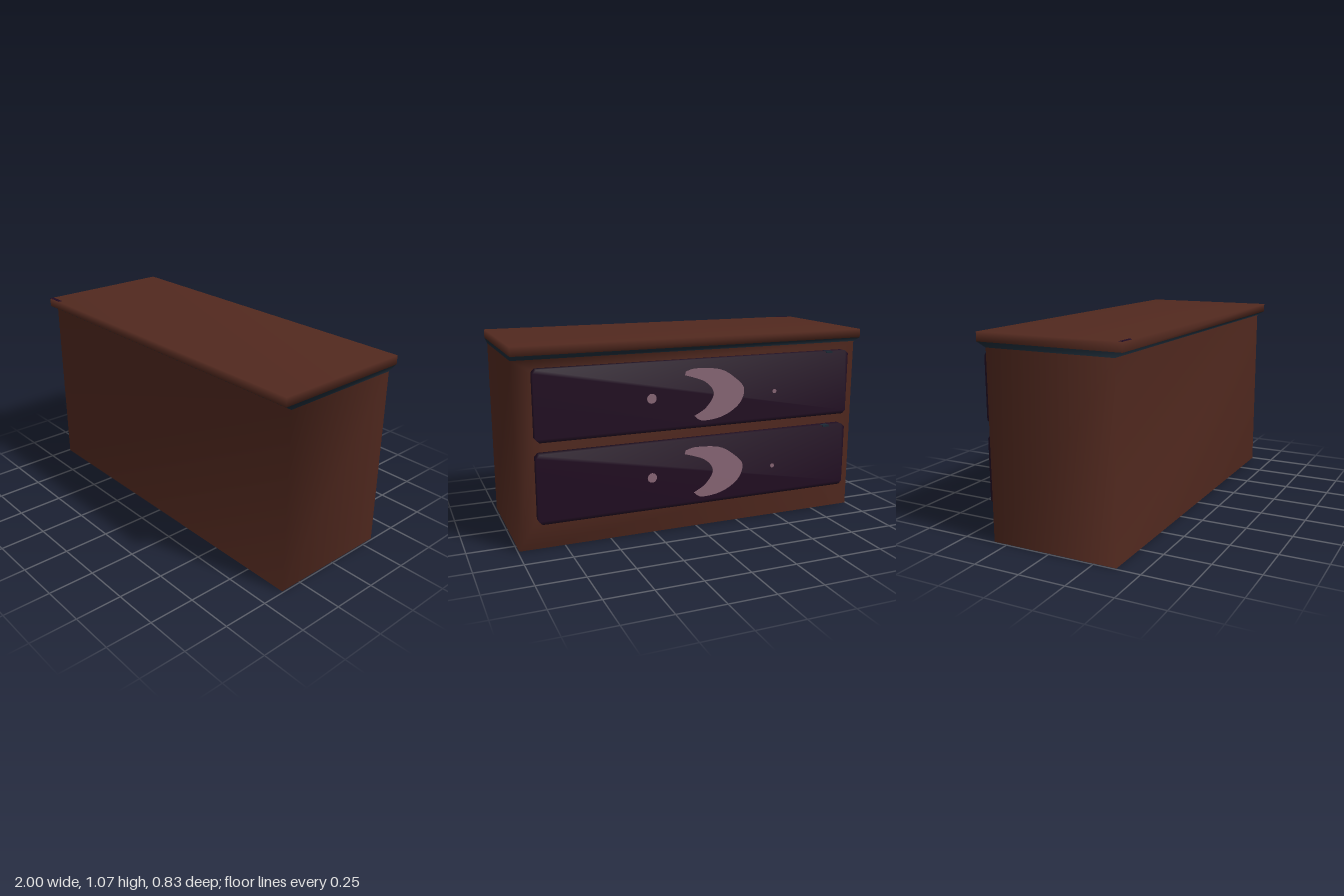
import * as THREE from 'three';
import { mergeVertices } from 'three/addons/utils/BufferGeometryUtils.js';

const mat = (name, color, side = THREE.FrontSide) =>
  Object.assign(new THREE.MeshStandardMaterial({ color, side }), { name });
const v2 = (x, y) => new THREE.Vector2(x, y);

// Smooth shell from sets of triangles, one material group per set
function shell(...sets) {
  const geometry = new THREE.BufferGeometry();
  geometry.setAttribute('position', new THREE.Float32BufferAttribute(sets.flat(3), 3));
  const welded = mergeVertices(geometry);
  let start = 0;
  sets.forEach((set, i) => {
    welded.addGroup(start, set.length * 3, i);
    start += set.length * 3;
  });
  welded.computeVertexNormals();
  return welded;
}

// Walls joining successive rings; sides listed in `open` are left out
function walls(rings, open = []) {
  const tris = [];
  for (let r = 0; r + 1 < rings.length; r++) {
    const a = rings[r], b = rings[r + 1];
    a.forEach((_, i) => {
      if (open.includes(i)) return;
      const j = (i + 1) % a.length;
      tris.push([a[i], a[j], b[j]], [a[i], b[j], b[i]]);
    });
  }
  return tris;
}

// Flat lid over a ring
const lid = (ring) => ring.slice(2).map((q, i) => [ring[0], ring[i + 1], q]);

// Rectangle in x and z at height y: its sides run left, back, right, front
const level = (y, x, zBack, zFront) =>
  [[x, y, zFront], [x, y, zBack], [-x, y, zBack], [-x, y, zFront]];

// Rectangle with clipped corners, anticlockwise
const clipped = (w, h, c) => [
  [-w + c, -h], [w - c, -h], [w, -h + c], [w, h - c],
  [w - c, h], [-w + c, h], [-w, h - c], [-w, -h + c],
];

export function createModel() {
  const wood = mat('brown wood', 0x52291f, THREE.DoubleSide);
  const trim = mat('slate blue', 0x1b2935, THREE.DoubleSide);
  const plum = mat('dark plum', 0x210c22, THREE.DoubleSide);
  const pink = mat('dusty pink', 0x8a6877);

  const model = new THREE.Group();
  model.name = 'dresser';

  const add = (parent, name, geometry, material, x = 0, y = 0, z = 0) => {
    const mesh = new THREE.Mesh(geometry, material);
    mesh.name = name;
    mesh.position.set(x, y, z);
    parent.add(mesh);
  };
  // Box given by its lower and upper corners
  const box = (parent, name, material, [x0, y0, z0], [x1, y1, z1]) =>
    add(parent, name, new THREE.BoxGeometry(x1 - x0, y1 - y0, z1 - z0), material,
      (x0 + x1) / 2, (y0 + y1) / 2, (z0 + z1) / 2);
  const plate = (shape) =>
    new THREE.ExtrudeGeometry(shape, { depth: 0.004, bevelEnabled: false, curveSegments: 10 });

  // Drawer outlines, and the heights of the two drawers
  const neck = clipped(0.867, 0.149, 0.015);
  const front = clipped(0.9, 0.1825, 0.018);
  const drawers = [['lowerDrawer', 0.3425], ['upperDrawer', 0.7695]];

  // Back wall, open where the drawers join it
  const outline = [v2(-0.992, 0), v2(0.992, 0), v2(0.992, 0.99), v2(-0.992, 0.99)];
  const holes = drawers.map(([, y]) => neck.map(([px, py]) => v2(px, py + y)).reverse());
  const corners = [outline, ...holes].flat().map((p) => [-p.x, p.y, -0.33]);
  const backWall = THREE.ShapeUtils.triangulateShape(outline, holes)
    .map((tri) => tri.map((i) => corners[i]));

  // Cabinet without a floor, sloping moulding and table top as one hollow shell
  const foot = level(0, 0.992, -0.33, 0.37);
  const shoulder = level(0.99, 0.992, -0.33, 0.37);
  const rim = level(1.017, 1, -0.378, 0.413);
  const top = level(1.065, 1, -0.378, 0.413);
  add(model, 'cabinetAndTop', shell(
    [...walls([foot, shoulder], [1]), ...backWall],
    walls([shoulder, rim]),
    [...walls([rim, top]), ...lid(top)],
  ), [wood, trim, wood]);

  // Small painted chip on a top corner
  box(model, 'cornerChip', plum, [-1, 1.063, 0.39], [-0.9, 1.0655, 0.413]);

  // Hollow drawer: neck, lip and front
  const at = (ring, z) => ring.map(([x, y]) => [x, y, z]).reverse();
  const rings = [at(neck, -0.33), at(neck, -0.36), at(front, -0.36), at(front, -0.413)];
  const drawerGeometry = shell([...walls(rings), ...lid(rings[3])]);

  // Crescent: outer arc from the upper tip to the lower tip, then back inside
  const moon = new THREE.Shape();
  moon.moveTo(0.105, 0.106);
  moon.lineTo(0.1, 0.125);
  moon.splineThru([v2(0.035, 0.138), v2(-0.1, 0.124), v2(-0.19, 0.071), v2(-0.242, 0.01),
    v2(-0.215, -0.07), v2(-0.12, -0.13), v2(0, -0.146), v2(0.05, -0.117)]);
  moon.splineThru([v2(-0.02, -0.075), v2(-0.062, -0.002), v2(-0.01, 0.064), v2(0.105, 0.106)]);

  const dot = (r) => new THREE.Shape().absarc(0, 0, r, 0, Math.PI * 2);
  const face = -0.415;

  // Two identical drawers on the back
  for (const [name, y] of drawers) {
    const drawer = new THREE.Group();
    drawer.name = name;
    drawer.position.y = y;
    model.add(drawer);
    add(drawer, 'drawerFront', drawerGeometry, plum);
    add(drawer, 'crescent', plate(moon), pink, 0, 0, face);
    add(drawer, 'largeDot', plate(dot(0.026)), pink, 0.29, -0.005, face);
    add(drawer, 'smallDot', plate(dot(0.012)), pink, -0.43, -0.018, face);
    box(drawer, 'edgeChip', trim, [-0.795, 0.174, face], [-0.755, 0.1835, -0.38]);
  }
  return model;
}
